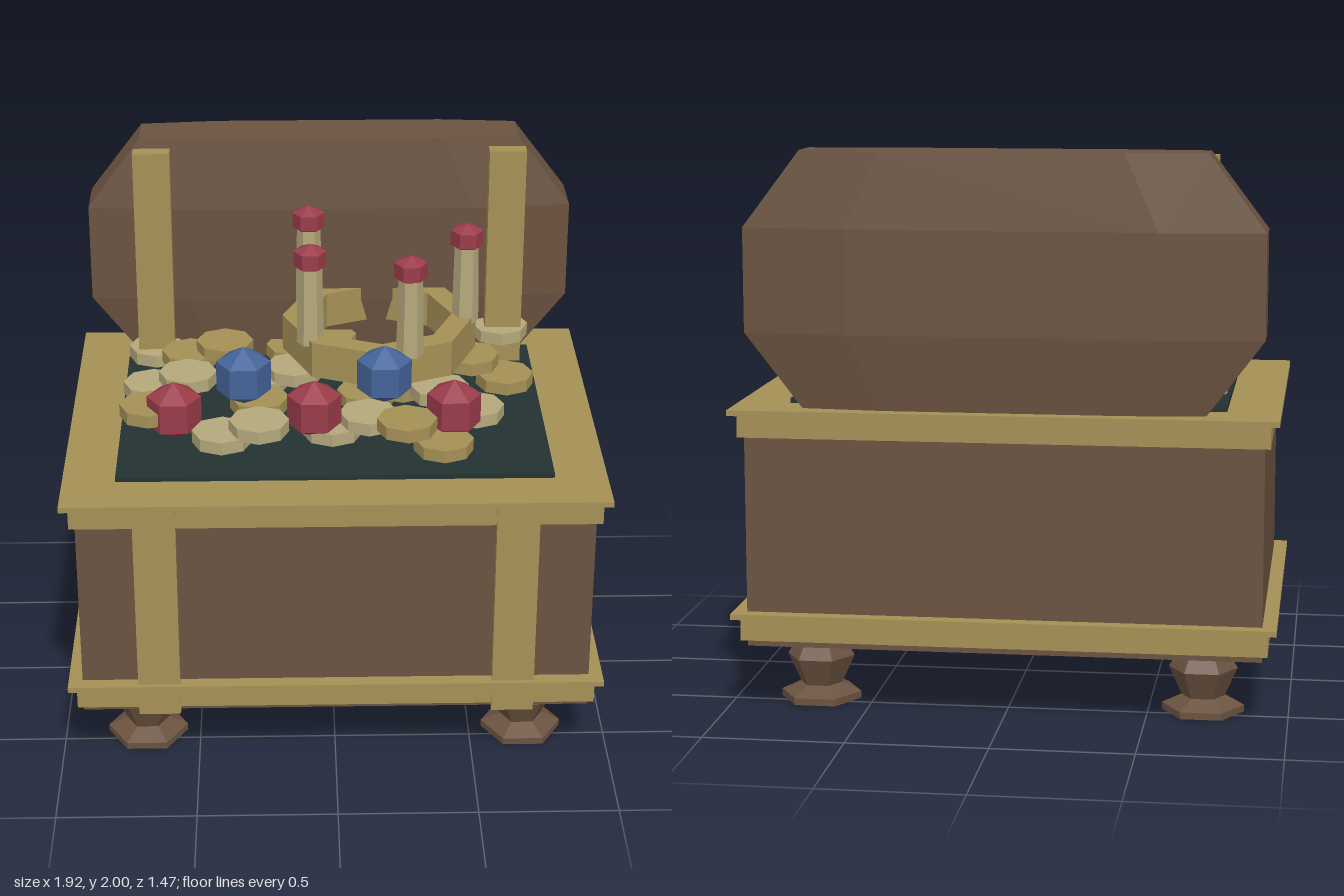
import * as THREE from 'three';
import { ConvexGeometry } from 'three/addons/geometries/ConvexGeometry.js';

const material = (name, color) => {
  const m = new THREE.MeshStandardMaterial({ color, flatShading: true });
  m.name = name;
  return m;
};

export function createModel() {
  const wood = material('wood', 0x6b5340);
  const gold = material('gold', 0xa59056);
  const pale = material('pale gold', 0xb4a87b);
  const lining = material('dark lining', 0x243232);
  const red = material('red gem', 0x9a3c4a);
  const blue = material('blue gem', 0x456499);

  const model = new THREE.Group();
  model.name = 'treasureChest';

  const add = (name, geometry, mat, x = 0, y = 0, z = 0, parent = model) => {
    const mesh = new THREE.Mesh(geometry, mat);
    mesh.name = name;
    mesh.position.set(x, y, z);
    parent.add(mesh);
    return mesh;
  };
  // Box given by its centre in x and z and its vertical range
  const box = (name, mat, x, z, w, d, y0, y1, parent) =>
    add(name, new THREE.BoxGeometry(w, y1 - y0, d), mat, x, (y0 + y1) / 2, z, parent);
  const group = (name) => {
    const g = new THREE.Group();
    g.name = name;
    model.add(g);
    return g;
  };
  // Turned profile with few sides and a corner on the x axis
  const turned = (points, sides) => new THREE.LatheGeometry(
    points.map(([r, y]) => new THREE.Vector2(r, y)), sides).rotateY(Math.PI / 2);

  // Body with gold bands and protruding lips
  box('body', wood, 0, 0, 1.82, 1.36, 0.245, 1.09);
  for (const [name, y] of [['lowerBand', 0.27], ['upperBand', 1.0]]) {
    box(name, gold, 0, 0, 1.86, 1.41, y, y + 0.08);
    box(name + 'Lip', gold, 0, 0, 1.92, 1.465, y + 0.08, y + 0.1);
  }
  box('lining', lining, 0, 0, 1.545, 1.09, 1.09, 1.117);

  // Straps on the front of the body and on the inside of the lid
  for (const s of [-1, 1]) {
    box('frontStrap', gold, s * 0.634, 0.69, 0.15, 0.05, 0.245, 1.08);
    box('lidStrap', gold, s * 0.66, -0.4, 0.137, 0.06, 1.13, 1.98);
  }

  // Feet
  const foot = turned([[0, 0], [0.147, 0], [0.147, 0.025], [0.077, 0.058],
    [0.123, 0.16], [0.075, 0.24], [0.075, 0.25]], 6);
  for (const x of [-0.695, 0.695]) for (const z of [-0.444, 0.444]) add('foot', foot, wood, x, 0, z);

  // Open lid: four stacked eight-cornered rings, smaller at top and bottom
  const lidPoints = [];
  for (const [y, k] of [[0.45, 0.78], [0.183, 1]]) {
    for (const [x, z] of [[0.905, 0.102], [0.54, 0.135]]) {
      for (const sx of [-1, 1]) for (const sy of [-1, 1]) for (const sz of [-1, 1]) {
        lidPoints.push(new THREE.Vector3(sx * x * k, sy * y, sz * z * k));
      }
    }
  }
  add('lid', new ConvexGeometry(lidPoints), wood, 0, 1.55, -0.57);

  // Scattered coins in three layers
  const coins = group('coins');
  const coin = new THREE.CylinderGeometry(0.107, 0.107, 0.047, 8);
  for (let i = 0; i < 25; i++) {
    add('coin', coin, i % 2 ? gold : pale,
      -0.66 + 0.131 * ((7 * i) % 11), 1.168 + 0.04 * (i % 3), -0.41 + 0.136 * ((3 * i) % 7), coins);
  }

  // Gem: six-sided prism with a point at each end
  const gem = (r, half, shoulder) =>
    turned([[0, -half], [r, -shoulder], [r, shoulder], [0, half]], 6);
  const bigGem = gem(0.097, 0.11, 0.055);
  for (let i = 0; i < 5; i++) {
    add('largeGem', bigGem, i % 2 ? blue : red, -0.57 + 0.25 * i, i % 2 ? 1.39 : 1.255, 0.29);
  }

  // Crown: eight-sided ring, five posts and a gem on each
  const crown = group('crown');
  crown.position.set(0.18, 0, -0.19);
  add('crownRing', turned([[0.27, 1.275], [0.36, 1.275], [0.36, 1.41], [0.27, 1.41], [0.27, 1.275]], 8),
    gold, 0, 0, 0, crown);
  const post = new THREE.CylinderGeometry(0.044, 0.05, 0.3, 6).rotateY(Math.PI / 6);
  const smallGem = gem(0.06, 0.056, 0.028);
  for (let i = 0; i < 5; i++) {
    const a = (i / 5) * Math.PI * 2;
    const x = 0.32 * Math.cos(a), z = 0.32 * Math.sin(a);
    add('crownPost', post, pale, x, 1.535, z, crown);
    add('crownGem', smallGem, red, x, 1.715, z, crown);
  }
  return model;
}
